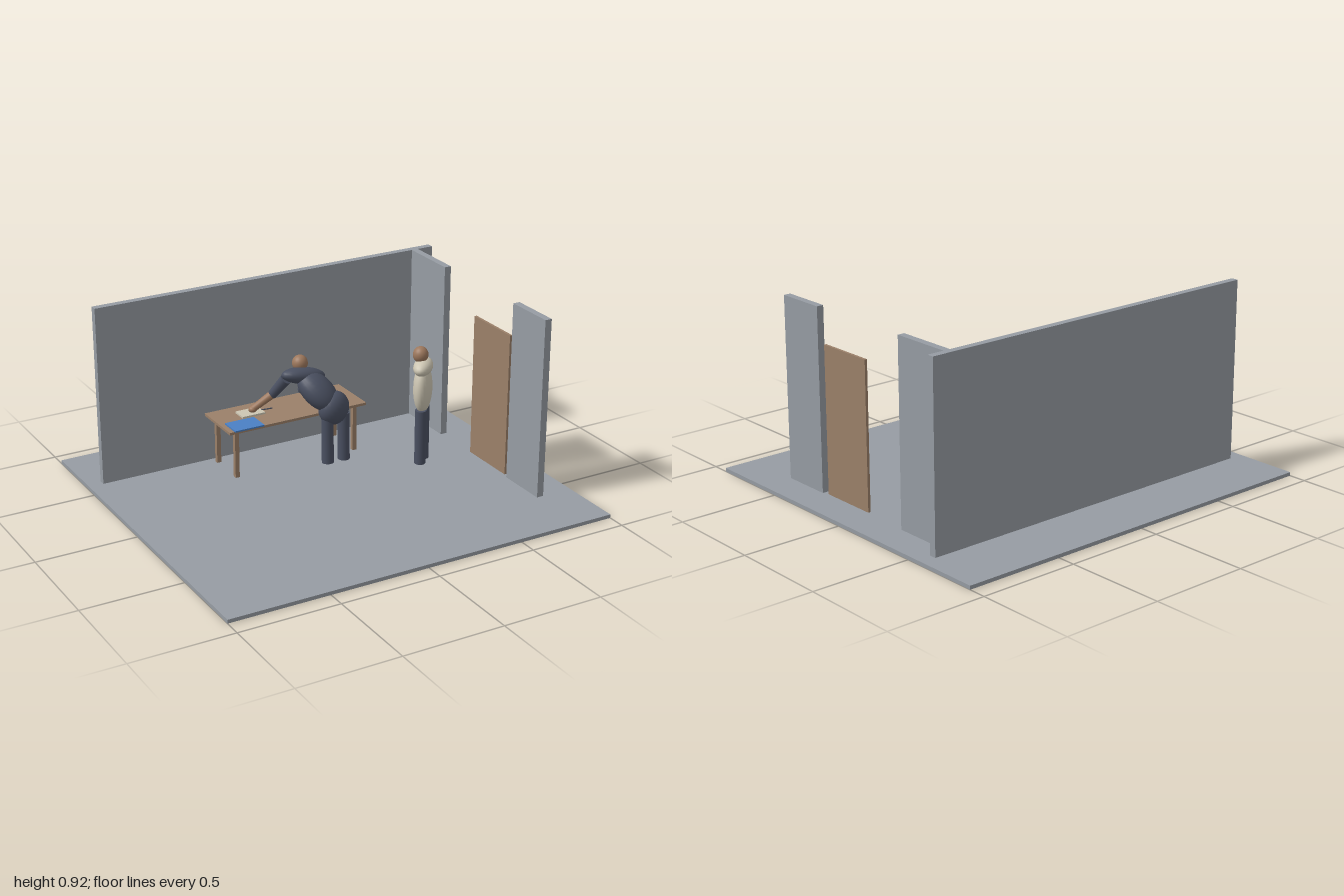
import * as THREE from 'three';

const paint = (name, color) => {
  const m = new THREE.MeshStandardMaterial({ color });
  m.name = name;
  return m;
};

export function createModel() {
  const model = new THREE.Group();
  model.name = 'officeScene';

  const grey = paint('wallGrey', 0x969ca3);
  const wood = paint('wood', 0x9b8069);
  const navy = paint('darkCloth', 0x4a5061);
  const cream = paint('cream', 0xcdc6b3);
  const skin = paint('skin', 0x9c775c);
  const blue = paint('folderBlue', 0x4a80c4);

  const V = (x, y, z) => new THREE.Vector3(x, y, z);
  const add = (parent, name, geometry, material) => {
    const mesh = new THREE.Mesh(geometry, material);
    mesh.name = name;
    parent.add(mesh);
    return mesh;
  };
  // Box given by its min and max on each axis
  const box = (parent, name, mat, [x0, x1], [y0, y1], [z0, z1]) => {
    const mesh = add(parent, name, new THREE.BoxGeometry(x1 - x0, y1 - y0, z1 - z0), mat);
    mesh.position.set((x0 + x1) / 2, (y0 + y1) / 2, (z0 + z1) / 2);
    return mesh;
  };
  // Ellipsoid whose local y follows "up" and local x lies near "side"
  const ellipsoid = (parent, name, mat, centre, radii, up = V(0, 1, 0), side = V(1, 0, 0)) => {
    const mesh = add(parent, name, new THREE.SphereGeometry(1, 24, 16), mat);
    const y = up.clone().normalize();
    const z = side.clone().cross(y).normalize();
    const x = y.clone().cross(z);
    mesh.quaternion.setFromRotationMatrix(new THREE.Matrix4().makeBasis(x, y, z));
    mesh.scale.set(...radii);
    mesh.position.copy(centre);
    return mesh;
  };
  // Tapered limb running from a to b
  const limb = (parent, name, mat, a, b, ra, rb) => {
    const dir = b.clone().sub(a);
    const mesh = add(parent, name, new THREE.CylinderGeometry(rb, ra, dir.length(), 16), mat);
    mesh.position.copy(a).add(b).multiplyScalar(0.5);
    mesh.quaternion.setFromUnitVectors(V(0, 1, 0), dir.normalize());
    return mesh;
  };

  // Room
  const room = new THREE.Group();
  room.name = 'room';
  model.add(room);
  box(room, 'floor', grey, [-1, 1], [0, 0.018], [-0.912, 0.912]);
  box(room, 'backWall', grey, [-0.927, 0.927], [0.018, 0.918], [-0.595, -0.56]);
  box(room, 'sideWallRear', grey, [0.807, 0.842], [0.018, 0.918], [-0.56, -0.252]);
  box(room, 'sideWallFront', grey, [0.807, 0.842], [0.018, 0.918], [0.337, 0.595]);
  box(room, 'door', wood, [0.818, 0.831], [0.018, 0.743], [0.003, 0.306]);

  // Table with its papers
  const table = new THREE.Group();
  table.name = 'table';
  model.add(table);
  box(table, 'tableTop', wood, [-0.38, 0.377], [0.262, 0.275], [-0.552, -0.278]);
  for (const x of [-0.33, 0.327])
    for (const z of [-0.515, -0.315])
      box(table, 'tableLeg', wood, [x - 0.011, x + 0.011], [0.018, 0.262], [z - 0.011, z + 0.011]);
  box(table, 'paper', cream, [-0.248, -0.124], [0.275, 0.284], [-0.48, -0.4]);
  box(table, 'folder', blue, [-0.355, -0.198], [0.275, 0.283], [-0.38, -0.268]);
  limb(table, 'pen', navy, V(-0.13, 0.284, -0.435), V(-0.068, 0.281, -0.435), 0.003, 0.003);

  // Person leaning over the table
  const leaning = new THREE.Group();
  leaning.name = 'leaningPerson';
  model.add(leaning);
  const across = V(1, 0, -0.9);
  for (const x of [0.1, 0.19])
    limb(leaning, 'leg', navy, V(x, 0.055, -0.175), V(x, 0.3, -0.18), 0.03, 0.03);
  ellipsoid(leaning, 'hips', navy, V(0.142, 0.33, -0.19), [0.085, 0.085, 0.063], V(0, 1, 0), V(1, 0, -0.25));
  ellipsoid(leaning, 'torso', navy, V(0.085, 0.41, -0.245), [0.09, 0.125, 0.07], V(-0.105, 0.14, -0.11), across);
  ellipsoid(leaning, 'shoulders', navy, V(0.036, 0.481, -0.303), [0.12, 0.042, 0.058],
    V(0.2, 1, -0.25), V(1, -0.2, -0.02));
  ellipsoid(leaning, 'head', skin, V(0.033, 0.537, -0.332), [0.039, 0.041, 0.039]);

  // Arms: [shoulder, elbow, hand]
  const arms = {
    right: [V(-0.05, 0.475, -0.32), V(-0.085, 0.375, -0.395), V(-0.178, 0.3, -0.432)],
    left: [V(0.13, 0.46, -0.32), V(0.075, 0.37, -0.385), V(0.14, 0.295, -0.335)],
  };
  for (const [side, [shoulder, elbow, hand]] of Object.entries(arms)) {
    limb(leaning, side + 'UpperArm', navy, shoulder, elbow, 0.029, 0.023);
    ellipsoid(leaning, side + 'Elbow', navy, elbow, [0.023, 0.023, 0.023]);
    limb(leaning, side + 'Forearm', skin, elbow, hand, 0.021, 0.017);
    ellipsoid(leaning, side + 'Hand', skin, hand, [0.021, 0.017, 0.021]);
  }

  // Person standing by the door, turned toward the table
  const standing = new THREE.Group();
  standing.name = 'standingPerson';
  standing.position.set(0.518, 0, 0.02);
  standing.rotation.y = Math.PI / 4;
  model.add(standing);
  for (const x of [-0.035, 0.035])
    limb(standing, 'leg', navy, V(x, 0.05, 0), V(x, 0.33, 0), 0.028, 0.028);
  ellipsoid(standing, 'torso', cream, V(0, 0.435, 0), [0.077, 0.13, 0.045]);
  ellipsoid(standing, 'shoulders', cream, V(0, 0.545, 0), [0.085, 0.041, 0.046]);
  ellipsoid(standing, 'head', skin, V(0, 0.606, -0.014), [0.038, 0.041, 0.038]);

  return model;
}
